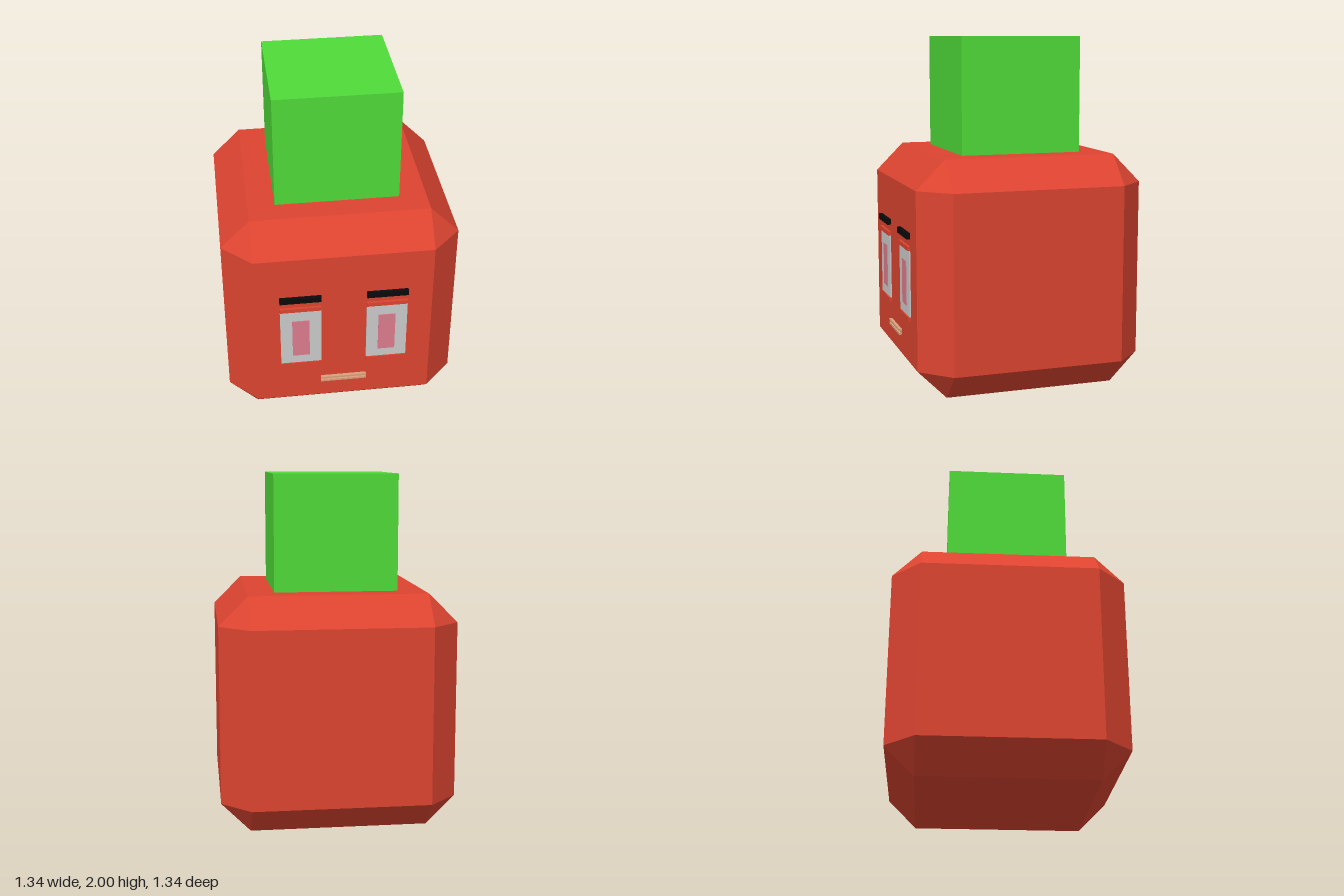
import * as THREE from 'three';
import { ConvexGeometry } from 'three/addons/geometries/ConvexGeometry.js';

const material = (color) => new THREE.MeshStandardMaterial({ color, flatShading: true });
const red = material(0xdd4430);
const green = material(0x4fdb39);
const black = material(0x0a0a0a);
const white = material(0xc4c4c4);
const pink = material(0xdc7c8e);
const tan = material(0xd9a07c);
const grey = material(0x9a9a80);

// Box with every edge cut at 45 degrees and triangular corners
function chamferedBox(hx, hy, hz, c) {
  const points = [];
  for (const x of [-1, 1]) for (const y of [-1, 1]) for (const z of [-1, 1]) {
    points.push(
      new THREE.Vector3(x * hx, y * (hy - c), z * (hz - c)),
      new THREE.Vector3(x * (hx - c), y * hy, z * (hz - c)),
      new THREE.Vector3(x * (hx - c), y * (hy - c), z * hz));
  }
  return new ConvexGeometry(points);
}

// Box given by its minimum and maximum on each axis
function block(parent, name, mat, [x0, x1], [y0, y1], [z0, z1]) {
  const mesh = new THREE.Mesh(new THREE.BoxGeometry(x1 - x0, y1 - y0, z1 - z0), mat);
  mesh.position.set((x0 + x1) / 2, (y0 + y1) / 2, (z0 + z1) / 2);
  mesh.name = name;
  parent.add(mesh);
}

export function createModel() {
  const model = new THREE.Group();
  model.name = 'blockHead';

  const head = new THREE.Mesh(chamferedBox(0.67, 0.67, 0.66, 0.165), red);
  head.name = 'head';
  head.position.set(0, 0.67, -0.011);
  model.add(head);

  block(model, 'topBlock', green, [-0.353, 0.35], [1.33, 2], [-0.36, 0.343]);

  // Eyes, lids and brows, one set per side
  const face = 0.64;
  for (const [side, cx] of [['left', 0.246], ['right', -0.248]]) {
    const eye = new THREE.Group();
    eye.name = side + 'Eye';
    eye.position.x = cx;
    block(eye, 'eyeWhite', white, [-0.117, 0.117], [0.44, 0.82], [face, 0.657]);
    block(eye, 'pupil', pink, [-0.049, 0.049], [0.495, 0.75], [face, 0.66]);
    block(eye, 'upperLid', red, [-0.117, 0.117], [0.82, 0.845], [face, 0.664]);
    block(eye, 'lowerLid', red, [-0.117, 0.117], [0.417, 0.44], [face, 0.664]);
    block(eye, 'brow', black, [-0.118, 0.118], [0.887, 0.921], [face, 0.67]);
    model.add(eye);
  }

  // Mouth: two lips with a recessed strip between them
  const mouth = new THREE.Group();
  mouth.name = 'mouth';
  block(mouth, 'upperLip', tan, [-0.135, 0.131], [0.301, 0.313], [face, 0.667]);
  block(mouth, 'teeth', grey, [-0.135, 0.131], [0.291, 0.301], [face, 0.655]);
  block(mouth, 'lowerLip', tan, [-0.135, 0.131], [0.279, 0.291], [face, 0.667]);
  model.add(mouth);

  return model;
}
